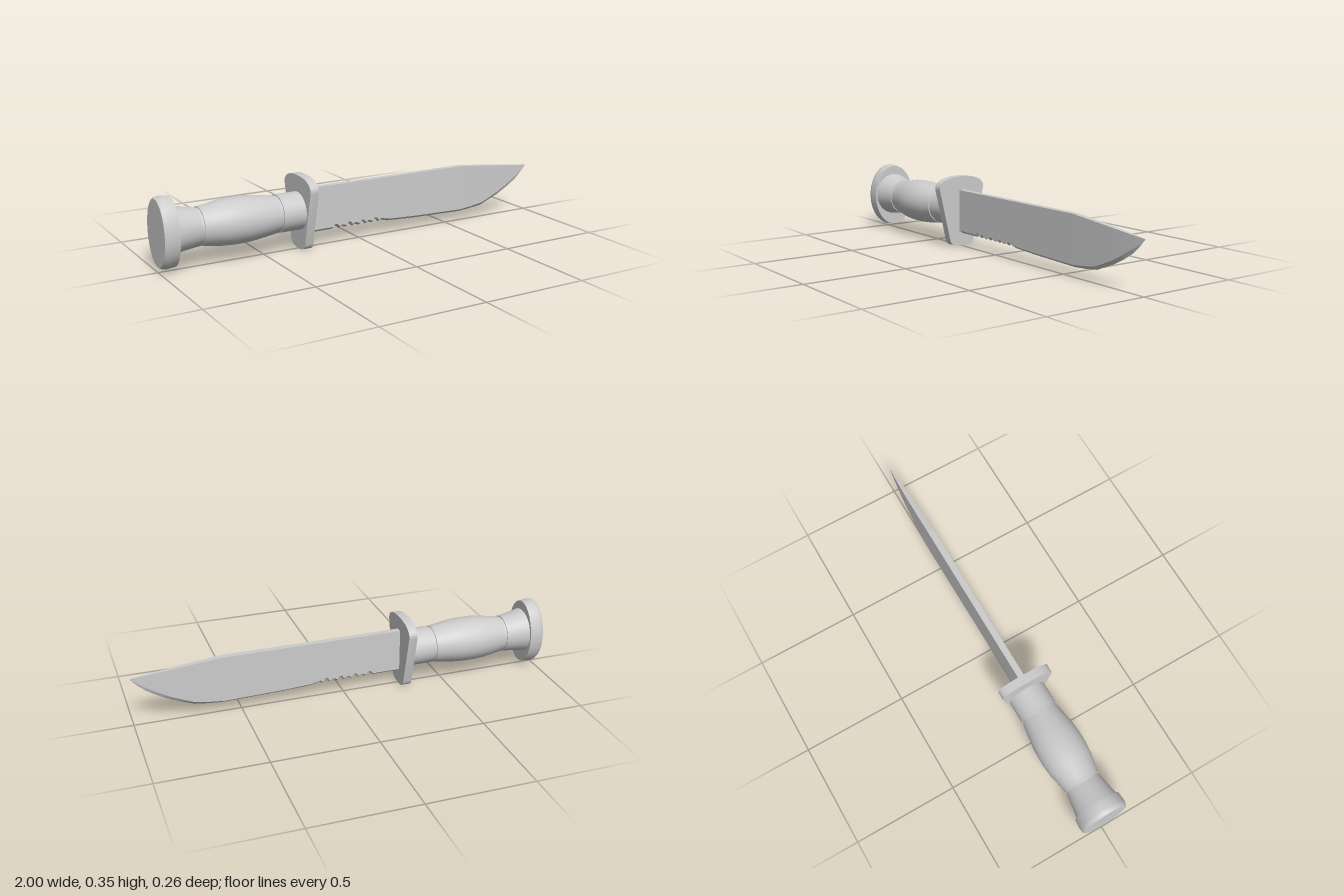
import * as THREE from 'three';
import { toCreasedNormals } from 'three/addons/utils/BufferGeometryUtils.js';

const material = new THREE.MeshStandardMaterial({ color: 0xcccccc });
const flatMaterial = new THREE.MeshStandardMaterial({ color: 0xcccccc, flatShading: true });

// Skin a row of closed rings (running towards +x) and cap both ends.
function loft(rings) {
  const pos = [];
  const tri = (...pts) => pts.forEach((p) => pos.push(p[0], p[1], p[2]));
  const n = rings[0].length;
  for (let i = 0; i < rings.length - 1; i++) {
    for (let j = 0; j < n; j++) {
      const k = (j + 1) % n;
      const a = rings[i][j], b = rings[i][k], c = rings[i + 1][j], d = rings[i + 1][k];
      tri(a, b, c);
      tri(b, d, c);
    }
  }
  const first = rings[0], last = rings[rings.length - 1];
  for (let j = 1; j < n - 1; j++) {
    tri(first[0], first[j + 1], first[j]);
    tri(last[0], last[j], last[j + 1]);
  }
  const geometry = new THREE.BufferGeometry();
  geometry.setAttribute('position', new THREE.Float32BufferAttribute(pos, 3));
  geometry.computeVertexNormals();
  return geometry;
}

// Elliptical section: x, bottom y, top y, half width.
function oval([x, y0, y1, rz], sides = 40) {
  return Array.from({ length: sides }, (_, i) => {
    const a = (i / sides) * Math.PI * 2;
    return [x, (y0 + y1) / 2 + Math.cos(a) * (y1 - y0) / 2, Math.sin(a) * rz];
  });
}

function add(group, name, geometry, mat = material) {
  const mesh = new THREE.Mesh(geometry, mat);
  mesh.name = name;
  group.add(mesh);
}

const ovalBody = (sections) => toCreasedNormals(loft(sections.map((s) => oval(s))), 0.5);

// Linear interpolation through [x, value] pairs.
function sample(table, x) {
  for (let i = 1; i < table.length; i++) {
    const [x0, v0] = table[i - 1], [x1, v1] = table[i];
    if (x <= x1) return v0 + (v1 - v0) * (x - x0) / (x1 - x0);
  }
  return table[table.length - 1][1];
}

function bladeGeometry() {
  const spine = [[-0.29, 0.28], [0.58, 0.28], [0.78, 0.26], [1, 0.235]];
  const half = [[-0.29, 0.015], [0.6, 0.015], [0.8, 0.012], [0.92, 0.007], [1, 0.0005]];
  const bevel = [[-0.29, 0.012], [0.58, 0.012], [0.8, 0.018], [0.93, 0.02], [1, 0.0005]];
  const edge = [[-0.29, 0.065], [-0.145, 0.065]];
  // Serrations: alternating shallow and deep notches.
  const teeth = 8, start = -0.14, pitch = 0.036;
  for (let i = 0; i < teeth; i++) {
    const x = start + i * pitch, deep = i % 2 ? 0.071 : 0.079;
    edge.push([x + 0.006, deep], [x + 0.017, deep - 0.002], [x + 0.029, 0.064], [x + 0.035, 0.065]);
  }
  edge.push([0.16, 0.06], [0.3, 0.053], [0.45, 0.049], [0.58, 0.046], [0.65, 0.051], [0.72, 0.06],
    [0.82, 0.1], [0.88, 0.132], [0.935, 0.167], [0.97, 0.2], [1, 0.234]);
  return loft(edge.map(([x, y]) => {
    const top = sample(spine, x), h = sample(half, x);
    const flat = Math.min(top, y + sample(bevel, x));
    return [[x, top, 0], [x, top, h], [x, flat, h], [x, y, 0], [x, flat, -h], [x, top, -h]];
  }));
}

function guardGeometry() {
  const s = new THREE.Shape();
  s.moveTo(0, 0);
  s.bezierCurveTo(0.045, 0, 0.065, 0.01, 0.07, 0.035);
  s.lineTo(0.128, 0.285);
  s.bezierCurveTo(0.134, 0.325, 0.085, 0.347, 0, 0.347);
  s.bezierCurveTo(-0.085, 0.347, -0.134, 0.325, -0.128, 0.285);
  s.lineTo(-0.07, 0.035);
  s.bezierCurveTo(-0.065, 0.01, -0.045, 0, 0, 0);
  const geometry = new THREE.ExtrudeGeometry(s, { depth: 0.042, bevelEnabled: false, curveSegments: 12 });
  geometry.rotateY(Math.PI / 2).translate(-0.323, 0, 0);
  return toCreasedNormals(geometry, 0.6);
}

export function createModel() {
  const group = new THREE.Group();
  group.name = 'knife';

  // Oval end cap
  add(group, 'pommel', ovalBody([
    [-1, 0.025, 0.328, 0.108], [-0.99, 0.017, 0.335, 0.114], [-0.975, 0.013, 0.338, 0.116],
    [-0.932, 0.018, 0.333, 0.113],
  ]));

  // Flared rear of the grip
  add(group, 'rearGrip', ovalBody([
    [-0.935, 0.077, 0.29, 0.106], [-0.88, 0.085, 0.277, 0.096], [-0.82, 0.092, 0.266, 0.087],
  ]));

  // Swelling middle of the grip, with a shallow groove at each end
  add(group, 'middleGrip', ovalBody([
    [-0.822, 0.096, 0.262, 0.083], [-0.808, 0.096, 0.262, 0.083], [-0.807, 0.092, 0.267, 0.087],
    [-0.77, 0.087, 0.271, 0.093], [-0.71, 0.078, 0.282, 0.106], [-0.66, 0.075, 0.286, 0.111],
    [-0.6, 0.075, 0.286, 0.111], [-0.55, 0.079, 0.282, 0.107], [-0.49, 0.087, 0.274, 0.098],
    [-0.446, 0.093, 0.268, 0.091], [-0.445, 0.097, 0.264, 0.086], [-0.43, 0.097, 0.264, 0.086],
  ]));

  // Straight collar behind the guard
  add(group, 'frontGrip', ovalBody([[-0.432, 0.093, 0.269, 0.091], [-0.31, 0.093, 0.269, 0.091]]));

  add(group, 'guard', guardGeometry());
  add(group, 'blade', bladeGeometry(), flatMaterial);
  return group;
}
